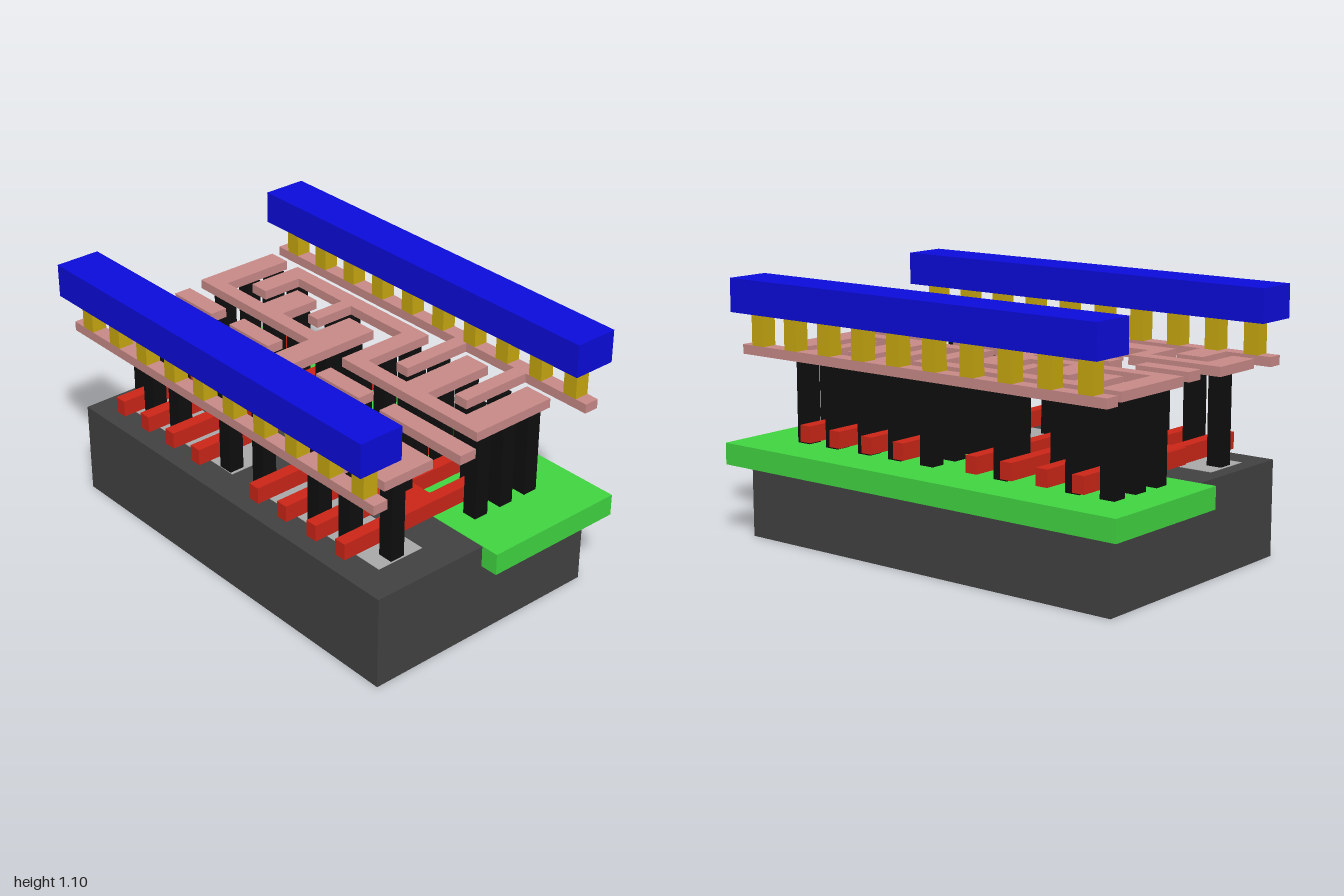
import * as THREE from 'three';

const mat = (color) => new THREE.MeshStandardMaterial({ color });

export function createModel() {
  const model = new THREE.Group();
  const M = {
    base: mat(0x424242), well: mat(0x41d641), doped: mat(0xaaaaaa), gate: mat(0xcc2618),
    contact: mat(0x0e0e0e), metal: mat(0xc98b89), via: mat(0xc8a80f), power: mat(0x0c0cdc),
  };

  const group = (name) => {
    const g = new THREE.Group();
    g.name = name;
    model.add(g);
    return g;
  };

  // Box given by its limits on each axis
  const box = (parent, name, material, x0, x1, y0, y1, z0, z1) => {
    const mesh = new THREE.Mesh(new THREE.BoxGeometry(x1 - x0, y1 - y0, z1 - z0), material);
    mesh.position.set((x0 + x1) / 2, (y0 + y1) / 2, (z0 + z1) / 2);
    mesh.name = name;
    parent.add(mesh);
  };

  // Flat track with an outline in x and z
  const track = (name, points) => {
    const shape = new THREE.Shape(points.map(([x, z]) => new THREE.Vector2(x, -z)));
    const geo = new THREE.ExtrudeGeometry(shape, { depth: 0.04, bevelEnabled: false });
    geo.rotateX(-Math.PI / 2);
    const mesh = new THREE.Mesh(geo, M.metal);
    mesh.position.y = 0.78;
    mesh.name = name;
    tracks.add(mesh);
  };

  // Substrate and the well set into its right half
  box(model, 'substrate', M.base, -0.55, 0.545, 0, 0.4, -0.925, 0.922);
  box(model, 'well', M.well, -0.02, 0.62, 0.31, 0.402, -1, 1);

  // Doped areas, almost flush with the surface
  const doped = group('dopedAreas');
  for (const [z0, z1] of [[-0.86, -0.1], [0.03, 0.78]]) {
    box(doped, 'dopedArea', M.doped, -0.42, -0.2, 0.39, 0.402, z0, z1);
  }

  // Gate strips, joined in pairs by a pad
  const gates = group('gates');
  for (const [a, b] of [[-0.74, -0.57], [-0.4, -0.23], [0.145, 0.315], [0.49, 0.655]]) {
    for (const z of [a, b]) box(gates, 'gateStrip', M.gate, -0.505, 0.5, 0.43, 0.5, z - 0.027, z + 0.027);
    box(gates, 'gatePad', M.gate, -0.145, -0.02, 0.431, 0.499, a - 0.04, b + 0.026);
  }

  // Contact posts: [z, x positions]
  const contacts = group('contacts');
  const rows = [
    [-0.815, [-0.32, 0.12, 0.255, 0.39]],
    [-0.655, [-0.385, -0.08, 0.255, 0.39]],
    [-0.48, [-0.385, 0.12, 0.255]],
    [-0.365, [-0.08]],
    [-0.31, [-0.24, 0.31, 0.39]],
    [-0.145, [-0.385, 0.12, 0.255]],
    [0.065, [-0.385, 0.12, 0.255, 0.39]],
    [0.13, [-0.08]],
    [0.235, [-0.24, 0.255, 0.39]],
    [0.4, [-0.385, 0.12, 0.255, 0.39]],
    [0.525, [-0.08]],
    [0.58, [-0.385, 0.255, 0.39]],
    [0.74, [-0.32, 0.12, 0.255, 0.39]],
  ];
  for (const [z, xs] of rows) {
    for (const x of xs) box(contacts, 'contact', M.contact, x - 0.033, x + 0.033, 0.4, 0.78, z - 0.033, z + 0.033);
  }

  // Metal tracks
  const tracks = group('tracks');
  track('backLeftTrack', [
    [-0.445, -0.89], [-0.205, -0.89], [-0.205, -0.455], [-0.345, -0.455], [-0.345, -0.085],
    [-0.445, -0.085], [-0.445, -0.52], [-0.27, -0.52], [-0.27, -0.79], [-0.445, -0.79],
  ]);
  track('frontLeftTrack', [
    [-0.445, 0], [-0.345, 0], [-0.345, 0.365], [-0.205, 0.365], [-0.205, 0.83],
    [-0.445, 0.83], [-0.445, 0.705], [-0.27, 0.705], [-0.27, 0.43], [-0.445, 0.43],
  ]);
  track('middleTrack', [
    [-0.27, -0.385], [-0.205, -0.385], [-0.205, -0.175], [0.05, -0.175], [0.05, -0.89],
    [0.445, -0.89], [0.445, -0.79], [0.115, -0.79], [0.115, -0.545], [0.3, -0.545],
    [0.3, -0.42], [0.115, -0.42], [0.115, -0.21], [0.3, -0.21], [0.3, -0.06],
    [-0.205, -0.06], [-0.205, 0.295], [-0.27, 0.295],
  ]);
  track('combTrack', [
    [0.19, -0.715], [0.445, -0.715], [0.445, 0.115], [0.115, 0.115], [0.115, 0.34],
    [0.445, 0.34], [0.445, 0.46], [0.115, 0.46], [0.115, 0.675], [0.445, 0.675],
    [0.445, 0.8], [0.05, 0.8], [0.05, 0.03], [0.375, 0.03], [0.375, -0.285],
    [0.19, -0.285], [0.19, -0.345], [0.375, -0.345], [0.375, -0.625], [0.19, -0.625],
  ]);
  for (const [z0, z1] of [[-0.86, -0.61], [-0.49, -0.24], [0.06, 0.315], [0.435, 0.88]]) {
    box(tracks, 'inputTrack', M.metal, -0.113, -0.035, 0.78, 0.82, z0, z1);
  }

  // Short branches running into the side rails
  for (const [z0, z1] of [[-0.715, -0.59], [0.5, 0.645]]) {
    box(tracks, 'leftBranch', M.metal, -0.52, -0.345, 0.78, 0.82, z0, z1);
  }
  for (const [z0, z1] of [[0.2, 0.265], [0.535, 0.6]]) {
    box(tracks, 'rightBranch', M.metal, 0.19, 0.52, 0.78, 0.82, z0, z1);
  }

  // Side rails, the row of vias on each, and the power bars on top
  const power = group('powerRails');
  for (const s of [-1, 1]) {
    const x = s * 0.547;
    box(power, 'rail', M.metal, x - 0.033, x + 0.033, 0.78, 0.82, -0.925, 0.922);
    for (let i = 0; i < 10; i++) {
      const z = -0.83 + i * 0.185;
      box(power, 'via', M.via, x - 0.033, x + 0.033, 0.82, 0.96, z - 0.033, z + 0.033);
    }
    box(power, 'powerBar', M.power, x - 0.097, x + 0.097, 0.96, 1.1, -0.925, 0.922);
  }
  return model;
}
